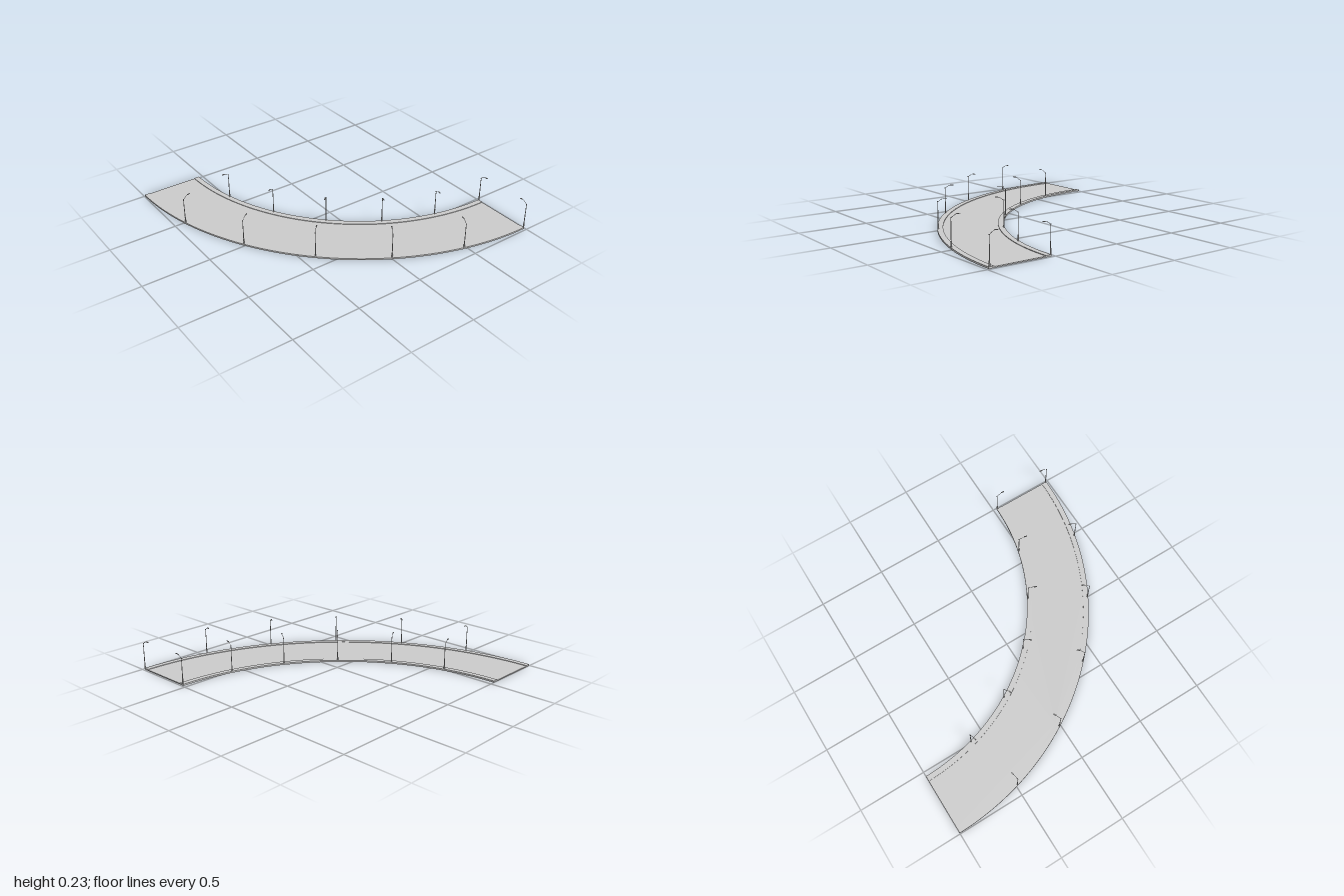
import * as THREE from 'three';

const CX = 0.99, CZ = -1;            // centre of the bend
const R_IN = 1.525, R_OUT = 1.985;   // road edges
const WALK = 0.04;                   // pavement width
const ROAD_H = 0.008, WALK_H = 0.012;
const grey = new THREE.MeshStandardMaterial({ color: 0xcccccc, side: THREE.DoubleSide });

function mesh(name, geometry) {
  const m = new THREE.Mesh(geometry, grey);
  m.name = name;
  return m;
}

// Quarter-ring slab standing on y = 0
function ringSlab(name, r0, r1, height) {
  const shape = new THREE.Shape();
  shape.absarc(CX, CZ, r1, Math.PI / 2, Math.PI, false);
  shape.absarc(CX, CZ, r0, Math.PI, Math.PI / 2, true);
  const g = new THREE.ExtrudeGeometry(shape, { depth: height, bevelEnabled: false, curveSegments: 48 });
  g.rotateX(Math.PI / 2).translate(0, height, 0);
  return mesh(name, g);
}

// Street lamp with its arm reaching along +x
function streetLamp() {
  const lamp = new THREE.Group();
  lamp.name = 'streetLamp';

  const base = mesh('lampBase', new THREE.CylinderGeometry(0.004, 0.005, 0.04, 8));
  base.position.y = WALK_H + 0.02;
  const post = mesh('lampPost', new THREE.CylinderGeometry(0.002, 0.0035, 0.19, 8));
  post.position.y = WALK_H + 0.095;
  const collar = mesh('lampCollar', new THREE.CylinderGeometry(0.0035, 0.0035, 0.006, 8));
  collar.position.y = 0.201;

  const path = new THREE.CatmullRomCurve3([
    new THREE.Vector3(0, 0.2, 0),
    new THREE.Vector3(0.018, 0.213, 0),
    new THREE.Vector3(0.034, 0.222, 0),
    new THREE.Vector3(0.045, 0.224, 0),
  ]);
  const arm = mesh('lampArm', new THREE.TubeGeometry(path, 10, 0.0016, 6));
  const head = mesh('lampHead', new THREE.BoxGeometry(0.022, 0.004, 0.007));
  head.position.set(0.05, 0.2235, 0);

  lamp.add(base, post, collar, arm, head);
  return lamp;
}

export function createModel() {
  const model = new THREE.Group();
  model.name = 'curvedRoad';

  // Roadway with a raised pavement on each side
  model.add(
    ringSlab('roadway', R_IN + WALK, R_OUT - WALK, ROAD_H),
    ringSlab('innerPavement', R_IN, R_IN + WALK, WALK_H),
    ringSlab('outerPavement', R_OUT - WALK, R_OUT, WALK_H),
  );

  // Lamps every 15 degrees on both edges, arms over the road
  for (let i = 0; i < 6; i++) {
    const a = Math.PI / 2 + THREE.MathUtils.degToRad(15 * i);
    for (const [r, turn] of [[R_IN + 0.006, 0], [R_OUT - 0.006, Math.PI]]) {
      const lamp = streetLamp();
      lamp.position.set(CX + r * Math.cos(a), 0, CZ + r * Math.sin(a));
      lamp.rotation.y = -a + turn;
      model.add(lamp);
    }
  }
  return model;
}
